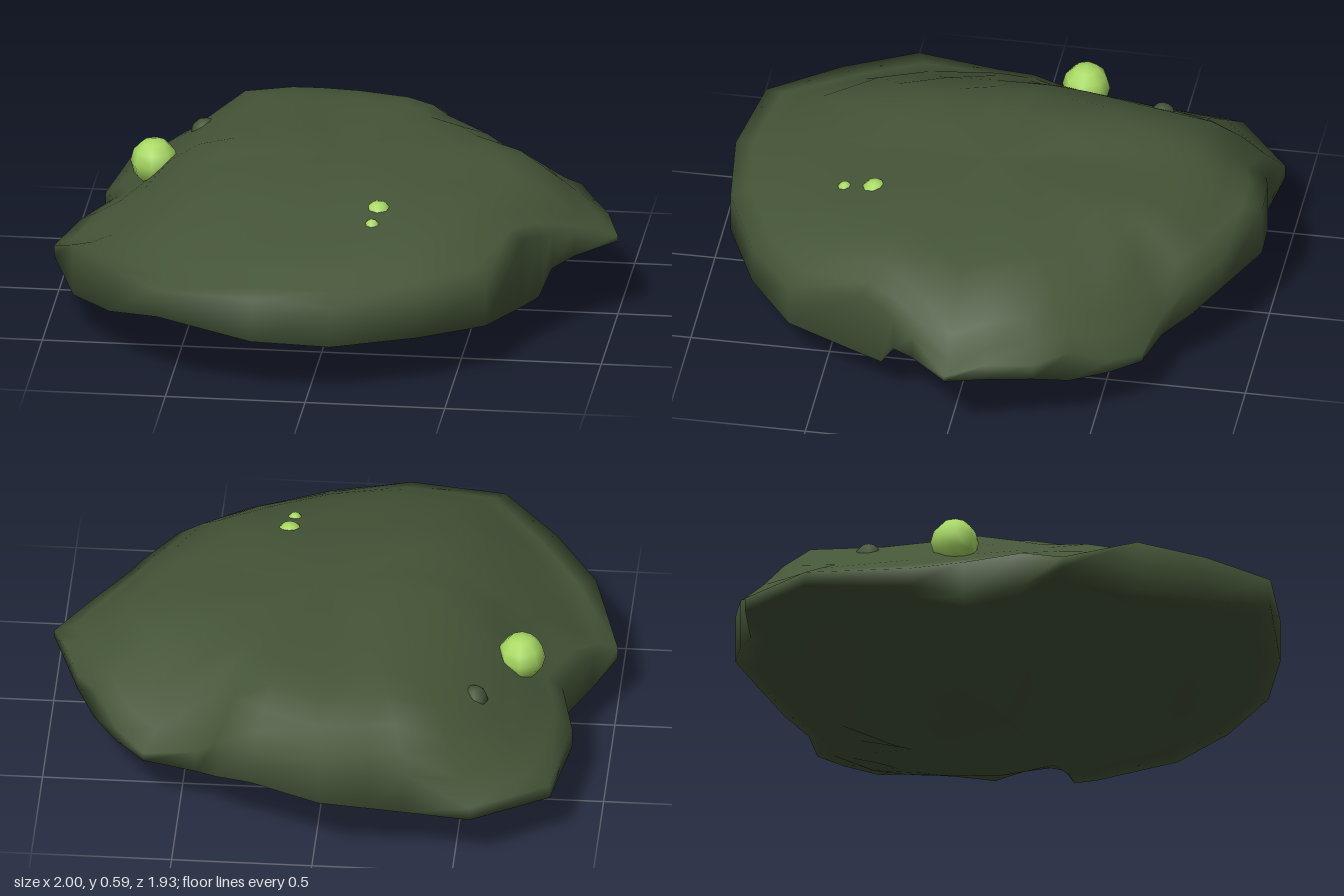
import * as THREE from 'three';
import { mergeVertices } from 'three/addons/utils/BufferGeometryUtils.js';

// Rim of the slab (x, z, lower height, upper height), counter-clockwise seen from above
const RIM = [
  [1, 0, 0.28, 0.3], [0.95, -0.14, 0.27, 0.33], [0.89, -0.3, 0.25, 0.31], [0.82, -0.42, 0.21, 0.33],
  [0.73, -0.55, 0.2, 0.25], [0.63, -0.65, 0.19, 0.22],
  [0.44, -0.69, 0.18, 0.26], [0.36, -0.78, 0.22, 0.36], [0.23, -0.87, 0.26, 0.39],
  [-0.02, -0.97, 0.25, 0.43], [-0.2, -0.96, 0.23, 0.41], [-0.33, -0.93, 0.2, 0.36],
  [-0.56, -0.96, 0.2, 0.25], [-0.83, -0.76, 0.18, 0.23], [-0.88, -0.39, 0.16, 0.23],
  [-0.83, -0.2, 0.15, 0.28], [-0.92, 0.01, 0.15, 0.28], [-1, 0.15, 0.19, 0.23],
  [-0.9, 0.42, 0.15, 0.34], [-0.74, 0.67, 0.19, 0.36], [-0.54, 0.91, 0.27, 0.37],
  [-0.2, 0.96, 0.21, 0.37], [0.08, 0.93, 0.19, 0.34], [0.38, 0.8, 0.19, 0.33],
  [0.6, 0.63, 0.18, 0.33], [0.7, 0.35, 0.15, 0.4], [0.75, 0.27, 0.16, 0.39],
  [0.79, 0.22, 0.25, 0.38], [0.86, 0.14, 0.27, 0.36],
];

// Height profiles across x and along z: [position, height]
const TOP_X = [[-1, 0.25], [-0.88, 0.36], [-0.7, 0.41], [-0.5, 0.54], [-0.28, 0.6], [-0.05, 0.56],
  [0.2, 0.57], [0.6, 0.52], [0.7, 0.49], [0.8, 0.44], [0.93, 0.37], [1, 0.29]];
const TOP_Z = [[-0.97, 0.45], [-0.77, 0.54], [-0.45, 0.585], [-0.15, 0.605], [0.09, 0.575],
  [0.29, 0.56], [0.63, 0.485], [0.87, 0.45], [0.97, 0.38]];
const LOW_X = [[-1, 0.2], [-0.93, 0.14], [-0.7, 0.09], [-0.1, 0.01], [0.1, 0], [0.35, 0.06],
  [0.58, 0.1], [0.74, 0.15], [0.8, 0.21], [1, 0.29]];
const LOW_Z = [[-0.97, 0.21], [-0.84, 0.16], [-0.64, 0.11], [-0.53, 0.06], [-0.45, 0], [-0.2, 0.01],
  [0, 0.04], [0.28, 0.07], [0.43, 0.12], [0.84, 0.15], [0.97, 0.21]];
// Shallow hollows in the upper face: x, z, depth, squared radius
const HOLLOWS = [[-0.62, -0.5, 0.055, 0.06], [0.64, -0.53, 0.1, 0.035]];

function sample(profile, t) {
  if (t <= profile[0][0]) return profile[0][1];
  for (let i = 1; i < profile.length; i++) {
    const [a, ya] = profile[i - 1], [b, yb] = profile[i];
    if (t <= b) return ya + (yb - ya) * (t - a) / (b - a);
  }
  return profile[profile.length - 1][1];
}

function topHeight(x, z) {
  const a = sample(TOP_X, x), b = sample(TOP_Z, z);
  let y = (Math.min(a, b) + a + b - 0.59) / 2;
  for (const [hx, hz, depth, r2] of HOLLOWS) y -= depth * Math.exp(-((x - hx) ** 2 + (z - hz) ** 2) / r2);
  return y;
}

function lowHeight(x, z) {
  const a = sample(LOW_X, x), b = sample(LOW_Z, z);
  return (Math.max(a, b) + a + b) / 2;
}

// Rings run from the middle of the underside, round the rim, to the middle of the top
function slabGeometry() {
  const rings = [
    ...[0, 0.25, 0.48, 0.68, 0.82, 0.92, 1].map((s) => [s, false]),
    ...[1, 0.93, 0.85, 0.75, 0.62, 0.45, 0.25, 0].map((s) => [s, true]),
  ];
  const n = RIM.length, pos = [], index = [];
  rings.forEach(([s, isTop], i) => {
    RIM.forEach(([rx, rz, lo, hi], j) => {
      const x = rx * s, z = rz * s;
      const inward = Math.sin(Math.min(1, (1 - s) / 0.3) * Math.PI / 2);
      const y = isTop
        ? THREE.MathUtils.lerp(hi, topHeight(x, z), inward)
        : THREE.MathUtils.lerp(lo, lowHeight(x, z), inward);
      pos.push(x, y, z);
      if (i + 1 < rings.length) {
        const k = (j + 1) % n, a = i * n + j, b = i * n + k, c = b + n, d = a + n;
        if (i > 0) index.push(a, b, c);
        if (i < rings.length - 2) index.push(a, c, d);
      }
    });
  });
  const geo = new THREE.BufferGeometry();
  geo.setAttribute('position', new THREE.Float32BufferAttribute(pos, 3));
  geo.setIndex(index);
  const merged = mergeVertices(geo, 1e-4);
  merged.computeVertexNormals();
  return merged;
}

export function createModel() {
  const group = new THREE.Group();
  const stone = new THREE.MeshStandardMaterial({ color: 0x455538 });
  stone.name = 'mossy stone';
  const glow = new THREE.MeshStandardMaterial({ color: 0xa8d963 });
  glow.name = 'bright green';

  // Main rock slab
  const slab = new THREE.Mesh(slabGeometry(), stone);
  slab.name = 'rockSlab';
  group.add(slab);

  // Round lumps sunk into the top
  const lumps = [
    ['largeGreenLump', glow, 0.086, -0.685, 0.424, -0.22],
    ['smallGreenLump', glow, 0.05, 0.19, 0.495, 0.39],
    ['tinyGreenLump', glow, 0.027, 0.18, 0.49, 0.5],
    ['stoneLump', stone, 0.05, -0.54, topHeight(-0.54, -0.52) - 0.03, -0.52],
  ];
  for (const [name, material, r, x, y, z] of lumps) {
    const lump = new THREE.Mesh(new THREE.SphereGeometry(r, 8, 6), material);
    lump.name = name;
    lump.position.set(x, y, z);
    group.add(lump);
  }
  return group;
}
